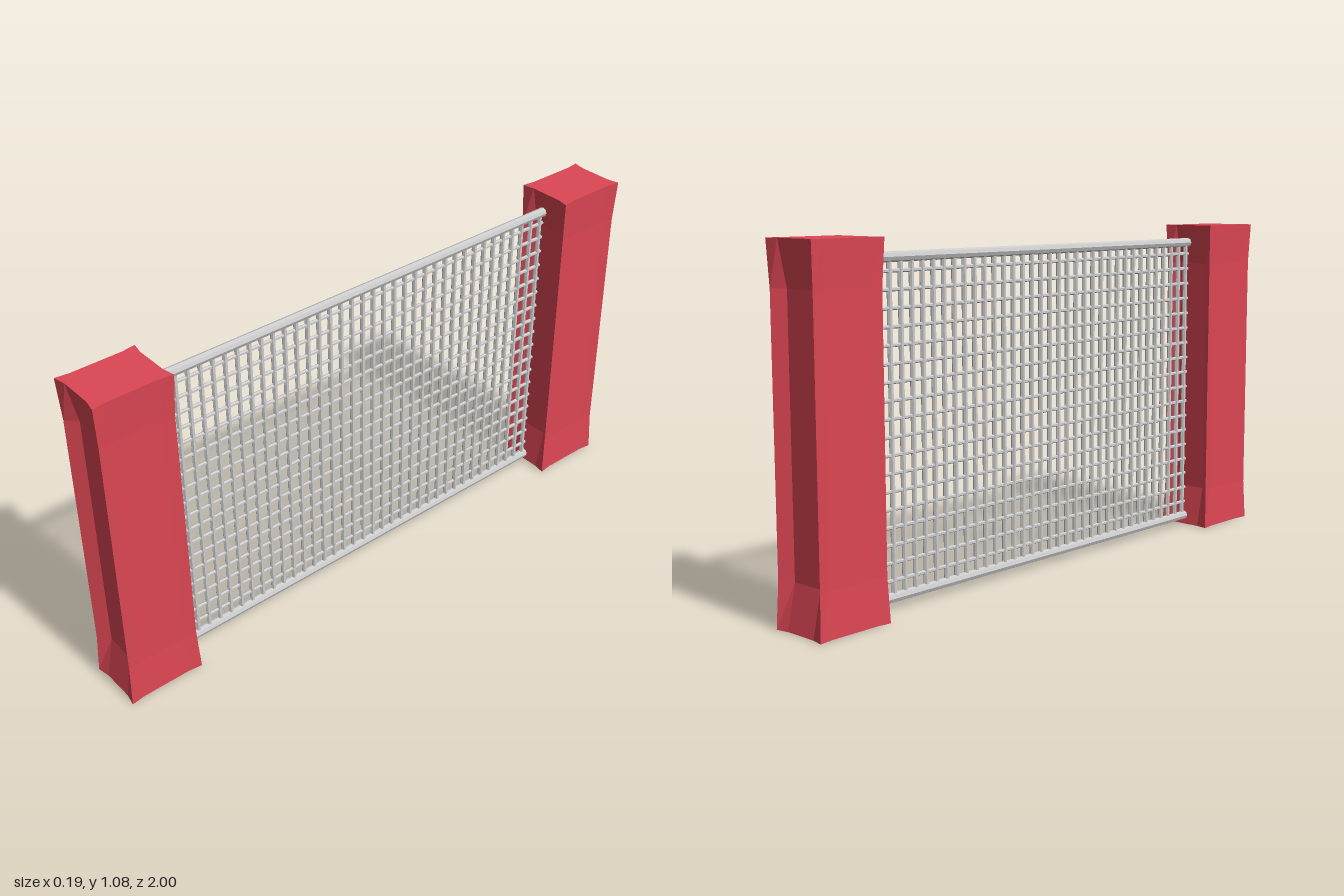
import * as THREE from 'three';

const red = new THREE.MeshStandardMaterial({ color: 0xdc4653, flatShading: true });
const grey = new THREE.MeshStandardMaterial({ color: 0xcccccc, flatShading: true });

// Twelve-point outline: four sharp corners with a recessed panel on each side
function outline(y, hx, hz, dx, dz) {
  const px = 0.055, pz = 0.08;
  const ix = hx - dx, iz = hz - dz;
  return [
    [hx, hz], [ix, pz], [ix, -pz],
    [hx, -hz], [px, -iz], [-px, -iz],
    [-hx, -hz], [-ix, -pz], [-ix, pz],
    [-hx, hz], [-px, iz], [px, iz],
  ].map(([x, z]) => [x, y, z]);
}

// Loft through the outlines, closed with a fan at both ends
function postGeometry() {
  const rings = [
    outline(0, 0.095, 0.125, 0.006, 0.008),
    outline(0.135, 0.09, 0.119, 0.007, 0.03),
    outline(0.94, 0.09, 0.119, 0.007, 0.03),
    outline(1.075, 0.095, 0.125, 0.006, 0.008),
  ];
  const n = rings[0].length, last = rings.length - 1;
  const pos = [];
  const tri = (a, b, c) => pos.push(...a, ...b, ...c);
  for (let i = 0; i < n; i++) {
    const j = (i + 1) % n;
    for (let r = 0; r < last; r++) {
      const [a, b, c, d] = [rings[r][i], rings[r][j], rings[r + 1][j], rings[r + 1][i]];
      tri(a, b, c);
      tri(a, c, d);
    }
    tri([0, 0, 0], rings[0][j], rings[0][i]);
    tri([0, 1.075, 0], rings[last][i], rings[last][j]);
  }
  const g = new THREE.BufferGeometry();
  g.setAttribute('position', new THREE.Float32BufferAttribute(pos, 3));
  g.computeVertexNormals();
  return g;
}

// Straight faceted rod, upright or lying along z
function rod(name, radius, length, sides, alongZ) {
  const g = new THREE.CylinderGeometry(radius, radius, length, sides);
  if (alongZ) g.rotateX(Math.PI / 2);
  const m = new THREE.Mesh(g, grey);
  m.name = name;
  return m;
}

export function createModel() {
  const model = new THREE.Group();
  model.name = 'fencePanel';

  // End posts
  const post = postGeometry();
  for (const s of [1, -1]) {
    const m = new THREE.Mesh(post, red);
    m.name = s > 0 ? 'frontPost' : 'backPost';
    m.position.z = s * 0.875;
    model.add(m);
  }

  // Top and bottom rails
  for (const [name, y] of [['topRail', 1.015], ['bottomRail', 0.035]]) {
    const rail = rod(name, 0.0155, 1.5, 8, true);
    rail.position.y = y;
    model.add(rail);
  }

  // Wire mesh
  const mesh = new THREE.Group();
  mesh.name = 'wireMesh';
  const columns = 36, rows = 18;
  for (let i = 0; i < columns; i++) {
    const wire = rod('uprightWire', 0.008, 0.98, 6, false);
    wire.position.set(0, 0.525, -0.735 + (1.47 * i) / (columns - 1));
    mesh.add(wire);
  }
  for (let i = 0; i < rows; i++) {
    const wire = rod('crossWire', 0.006, 1.5, 6, true);
    wire.position.y = 0.085 + 0.0524 * i;
    mesh.add(wire);
  }
  model.add(mesh);

  return model;
}
